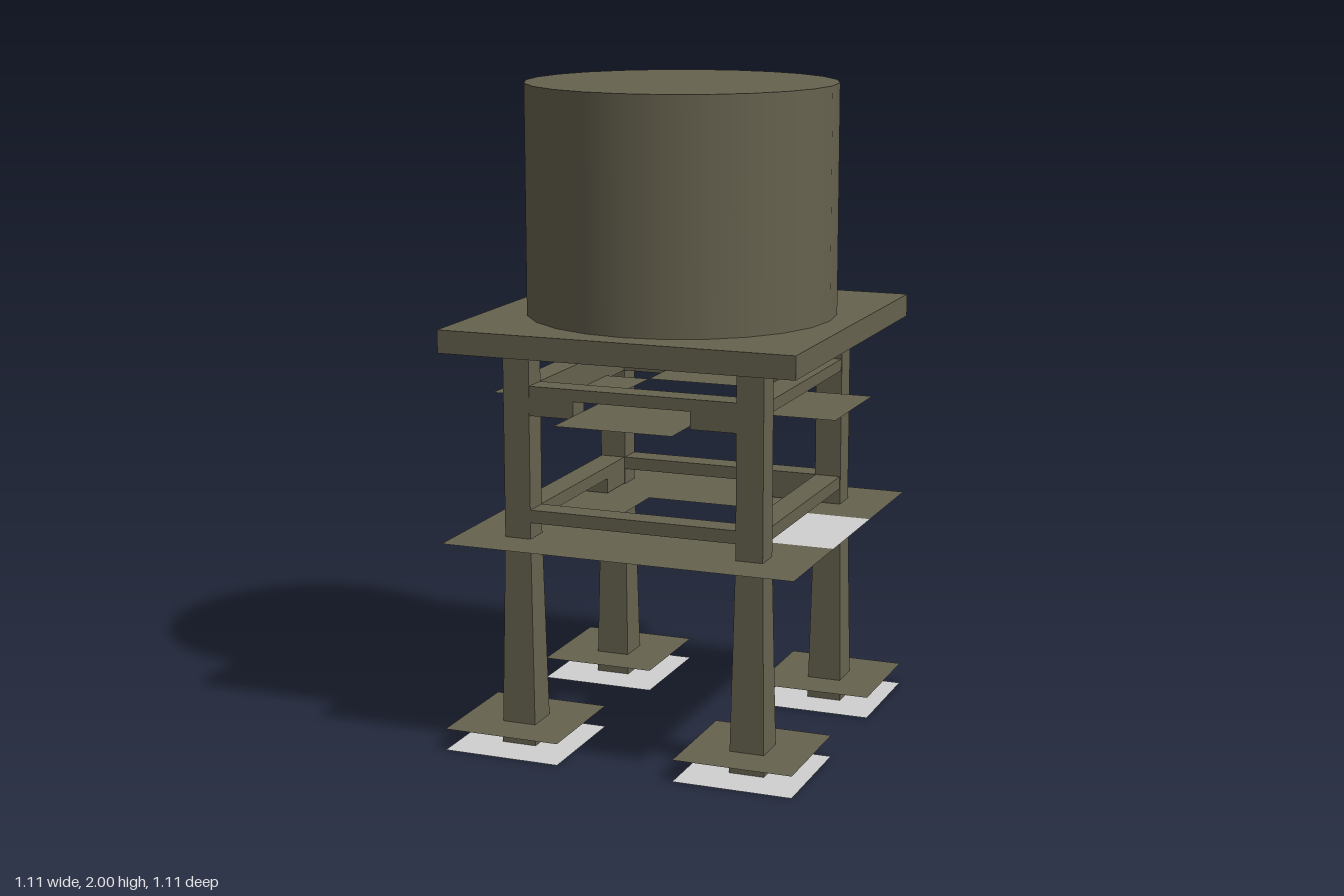
import * as THREE from 'three';

export function createModel() {
  const model = new THREE.Group();
  const olive = new THREE.MeshStandardMaterial({ color: 0x66624f });
  olive.name = 'olive';
  const oliveSheet = new THREE.MeshStandardMaterial({ color: 0x66624f, side: THREE.DoubleSide });
  oliveSheet.name = 'olive';
  const grey = new THREE.MeshStandardMaterial({ color: 0xd0d0d0, side: THREE.DoubleSide });
  grey.name = 'pale grey';

  const CELL = 0.37; // the footprint is a 3 x 3 grid of cells
  const HALF = CELL / 2;
  const add = (name, geometry, material, x, y, z) => {
    const mesh = new THREE.Mesh(geometry, material);
    mesh.name = name;
    mesh.position.set(x, y, z);
    model.add(mesh);
    return mesh;
  };
  // Box given by its limits on each axis
  const block = (name, x0, x1, y0, y1, z0, z1) =>
    add(name, new THREE.BoxGeometry(x1 - x0, y1 - y0, z1 - z0), olive,
      (x0 + x1) / 2, (y0 + y1) / 2, (z0 + z1) / 2);

  // Horizontal square sheet over one cell, with an optional square opening
  const sheet = (name, material, i, y, k, hole = 0) => {
    const shape = new THREE.Shape([[-1, -1], [1, -1], [1, 1], [-1, 1]]
      .map(([a, b]) => new THREE.Vector2(a * HALF, b * HALF)));
    if (hole) {
      shape.holes.push(new THREE.Path([[-1, -1], [-1, 1], [1, 1], [1, -1]]
        .map(([a, b]) => new THREE.Vector2(a * hole, b * hole))));
    }
    const geometry = new THREE.ShapeGeometry(shape).rotateX(-Math.PI / 2);
    add(name, geometry, material, i * CELL, y, k * CELL);
  };

  // Tank and deck
  add('tank', new THREE.CylinderGeometry(0.475, 0.475, 0.7, 24), olive, 0, 1.65, 0);
  block('deck', -0.555, 0.555, 1.23, 1.3, -0.555, 0.555);

  // Legs: square, flared below the walkway, with footing sheets
  for (const i of [-1, 1]) {
    for (const k of [-1, 1]) {
      const flare = new THREE.CylinderGeometry(0.042 * Math.SQRT2, 0.055 * Math.SQRT2, 0.65, 4)
        .rotateY(Math.PI / 4).toNonIndexed();
      flare.computeVertexNormals();
      add('lowerLeg', flare, olive, i * CELL, 0.325, k * CELL);
      add('upperLeg', new THREE.BoxGeometry(0.084, 0.58, 0.084), olive, i * CELL, 0.94, k * CELL);
      sheet('footingTop', oliveSheet, i, 0.067, k, 0.05);
      sheet('footingBase', grey, i, 0, k, 0.054);
    }
  }

  // Walkway ring, with one pale cell on the +x side
  for (let i = -1; i <= 1; i++) {
    for (let k = -1; k <= 1; k++) {
      if (i === 0 && k === 0) continue;
      sheet('walkway', i === 1 && k === 0 ? grey : oliveSheet, i, 0.65, k);
    }
  }

  // Sheets under the upper rails
  for (const [i, k] of [[0, 1], [0, -1], [1, 0], [-1, 0]]) sheet('upperSheet', oliveSheet, i, 1.04, k);

  // Rail pieces between neighbouring legs; side is the rail's offset on the other axis
  const T = 0.04, END = 0.33;
  const rail = (name, axis, side, a, b, y0, y1) => {
    const c = side * CELL;
    if (axis === 'x') block(name, a, b, y0, y1, c - T, c + T);
    else block(name, c - T, c + T, y0, y1, a, b);
  };
  for (const axis of ['x', 'z']) {
    for (const side of [-1, 1]) {
      rail('lowerRail', axis, side, -END, END, 0.7, 0.74);
      rail('upperRail', axis, side, -END, END, 1.083, 1.12);
    }
  }

  // Deeper rail ends and middles
  for (const [axis, side] of [['x', 1], ['x', -1], ['z', -1]]) {
    rail('railEnd', axis, side, -END, -HALF, 1.03, 1.083);
    rail('railEnd', axis, side, HALF, END, 1.03, 1.083);
  }
  rail('railMiddle', 'x', -1, -HALF, HALF, 1.04, 1.083);
  rail('railMiddle', 'z', -1, -HALF, HALF, 1.04, 1.083);
  rail('lowerRailEnd', 'x', -1, HALF, END, 0.652, 0.7);
  rail('lowerRailEnd', 'z', -1, -END, -HALF, 0.652, 0.7);

  return model;
}
